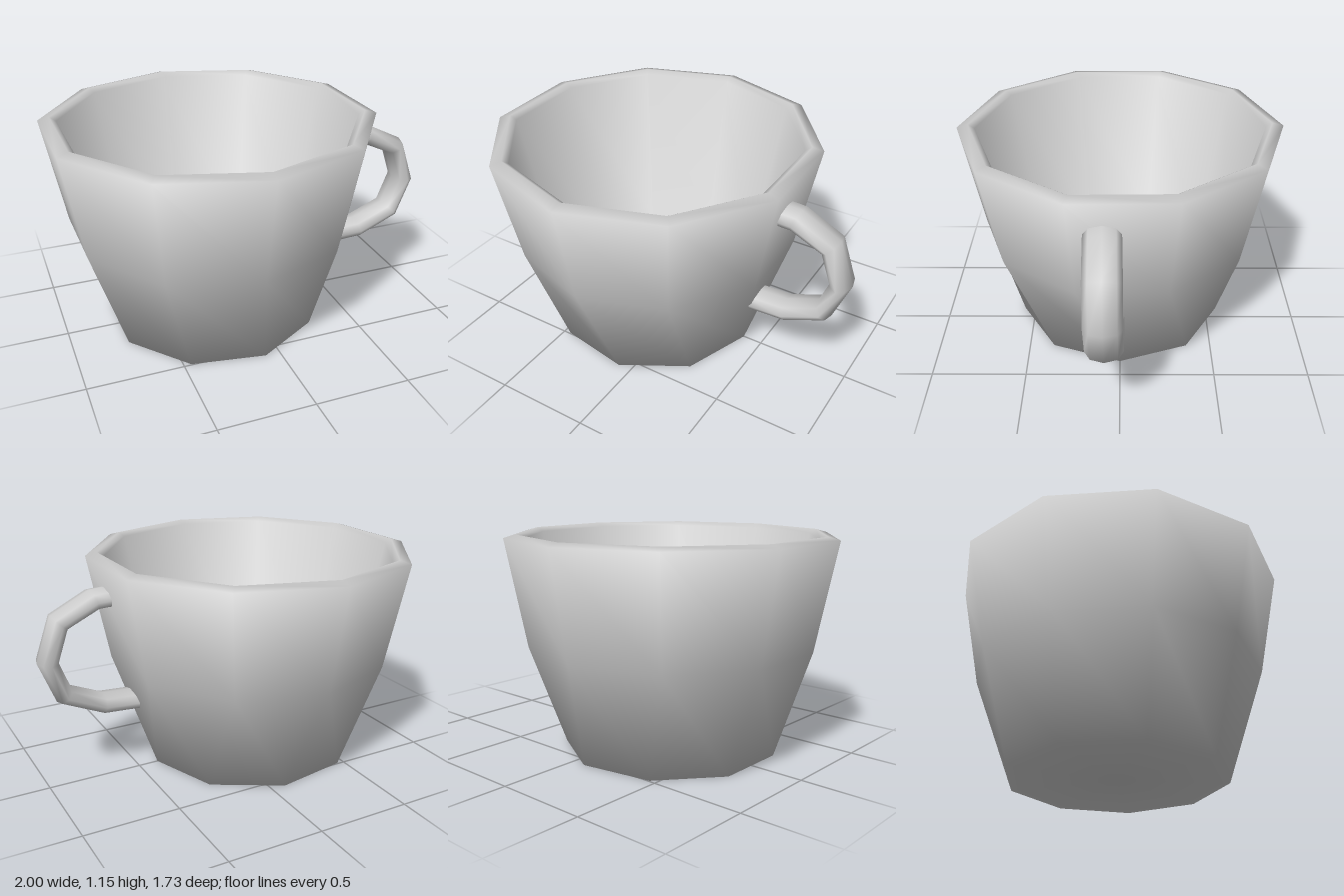
import * as THREE from 'three';

const material = new THREE.MeshStandardMaterial({ color: 0xcccccc, side: THREE.DoubleSide });

// Cup: underside, outer wall, rounded rim, inner wall, floor.
// Ten-sided, but the foot has nine sides: two of its corners merge.
function makeCup() {
  const profile = [
    [0, 0], [0.57, 0], [0.757, 0.57], [0.866, 1.13],
    [0.805, 1.147], [0.772, 1.125], [0.59, 0.25], [0.42, 0.17], [0, 0.17],
  ].map(([r, y]) => new THREE.Vector2(r, y));
  const foot = 1, sides = 10;

  // Evenly blended normals across each profile corner
  const segments = profile.slice(1).map((p, k) =>
    new THREE.Vector2(p.y - profile[k].y, profile[k].x - p.x).normalize());
  const normals = profile.map((p, k) =>
    segments[Math.max(k - 1, 0)].clone()
      .add(segments[Math.min(k, segments.length - 1)]).normalize());

  const geometry = new THREE.LatheGeometry(profile, sides);
  const { position, normal } = geometry.attributes;
  for (let i = 0; i <= sides; i++) {
    for (let k = 0; k < profile.length; k++) {
      const degrees = k === foot ? 10 + 40 * (i < 3 ? i : i - 1) : 1 + 36 * i;
      const a = THREE.MathUtils.degToRad(degrees);
      const v = i * profile.length + k;
      const p = profile[k], n = normals[k];
      position.setXYZ(v, p.x * Math.sin(a), p.y, p.x * Math.cos(a));
      normal.setXYZ(v, n.x * Math.sin(a), n.y, n.x * Math.cos(a));
    }
  }
  const cup = new THREE.Mesh(geometry, material);
  cup.name = 'cup';
  cup.position.x = -0.177;
  return cup;
}

// Handle: flat oval section swept along an angular loop
function makeHandle() {
  const path = [
    [0.44, 0.375], [0.67, 0.388], [0.87, 0.475], [0.942, 0.66],
    [0.872, 0.86], [0.685, 0.95], [0.58, 0.955],
  ].map(([x, y]) => new THREE.Vector2(x, y));
  const sides = 8, thick = 0.053, wide = 0.092;
  const positions = [], index = [];
  path.forEach((p, i) => {
    const before = path[Math.max(i - 1, 0)];
    const after = path[Math.min(i + 1, path.length - 1)];
    const t = after.clone().sub(before).normalize();
    const z = 0.068 + 0.014 * i / (path.length - 1);
    for (let j = 0; j < sides; j++) {
      const a = (j / sides) * Math.PI * 2;
      const c = Math.cos(a) * thick;
      positions.push(p.x + t.y * c, p.y - t.x * c, z + Math.sin(a) * wide);
      if (i < path.length - 1) {
        const here = i * sides + j, next = i * sides + (j + 1) % sides;
        index.push(here, here + sides, next, next, here + sides, next + sides);
      }
    }
  });
  const geometry = new THREE.BufferGeometry();
  geometry.setAttribute('position', new THREE.Float32BufferAttribute(positions, 3));
  geometry.setIndex(index);
  geometry.computeVertexNormals();
  const handle = new THREE.Mesh(geometry, material);
  handle.name = 'handle';
  return handle;
}

export function createModel() {
  const group = new THREE.Group();
  group.name = 'mug';
  group.add(makeCup(), makeHandle());
  return group;
}
